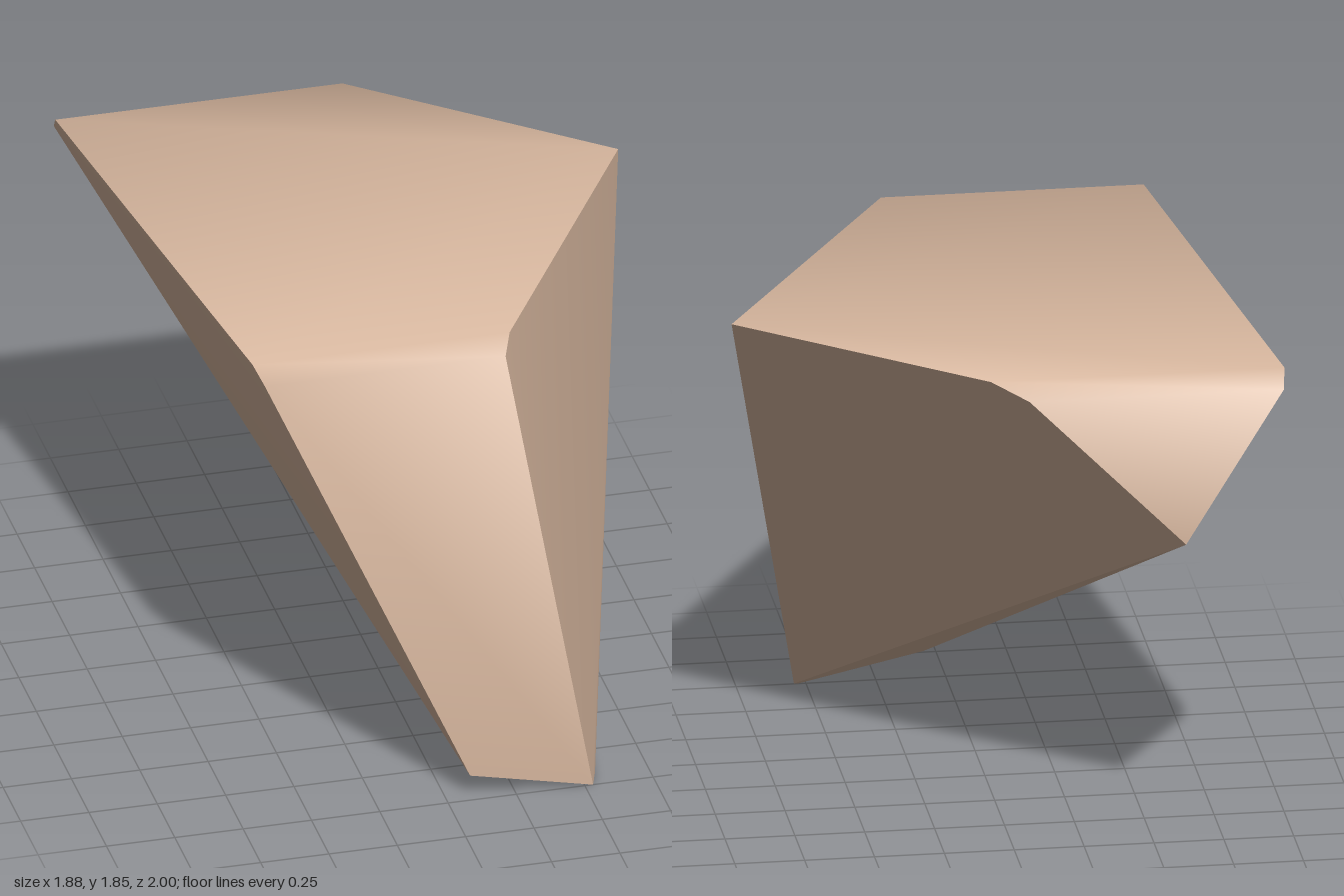
import * as THREE from 'three';
import { ConvexGeometry } from 'three/addons/geometries/ConvexGeometry.js';
import { toCreasedNormals } from 'three/addons/utils/BufferGeometryUtils.js';

const TOP = 1.85, BEVEL = 0.06;
const clay = new THREE.MeshStandardMaterial({ color: 0xd4b49c });
clay.name = 'clay';

export function createModel() {
  const group = new THREE.Group();
  group.name = 'stoneShard';

  const edge = TOP - BEVEL, inset = 1 - BEVEL;
  const corners = [
    // flat top
    [-0.94, TOP, -inset], [0.11, TOP, -inset], [0.94, TOP, -0.24],
    [0.24, TOP, inset], [-0.7, TOP, inset],
    // back face, tapering to one low corner
    [-0.93, edge, -1], [-0.02, edge, -1], [-0.58, 1.22, -1],
    // front face
    [-0.67, edge, 1], [0.21, edge, 1], [0.53, 0, 1], [0.08, 0.1, 1],
    // blunt tip behind the lowest front corner
    [0.55, 0.02, 0.95],
  ].map((p) => new THREE.Vector3(...p));

  // bevels blend smoothly into the faces, the broken cuts stay sharp
  const geometry = toCreasedNormals(new ConvexGeometry(corners), THREE.MathUtils.degToRad(47));
  const shard = new THREE.Mesh(geometry, clay);
  shard.name = 'shard';
  group.add(shard);
  return group;
}
